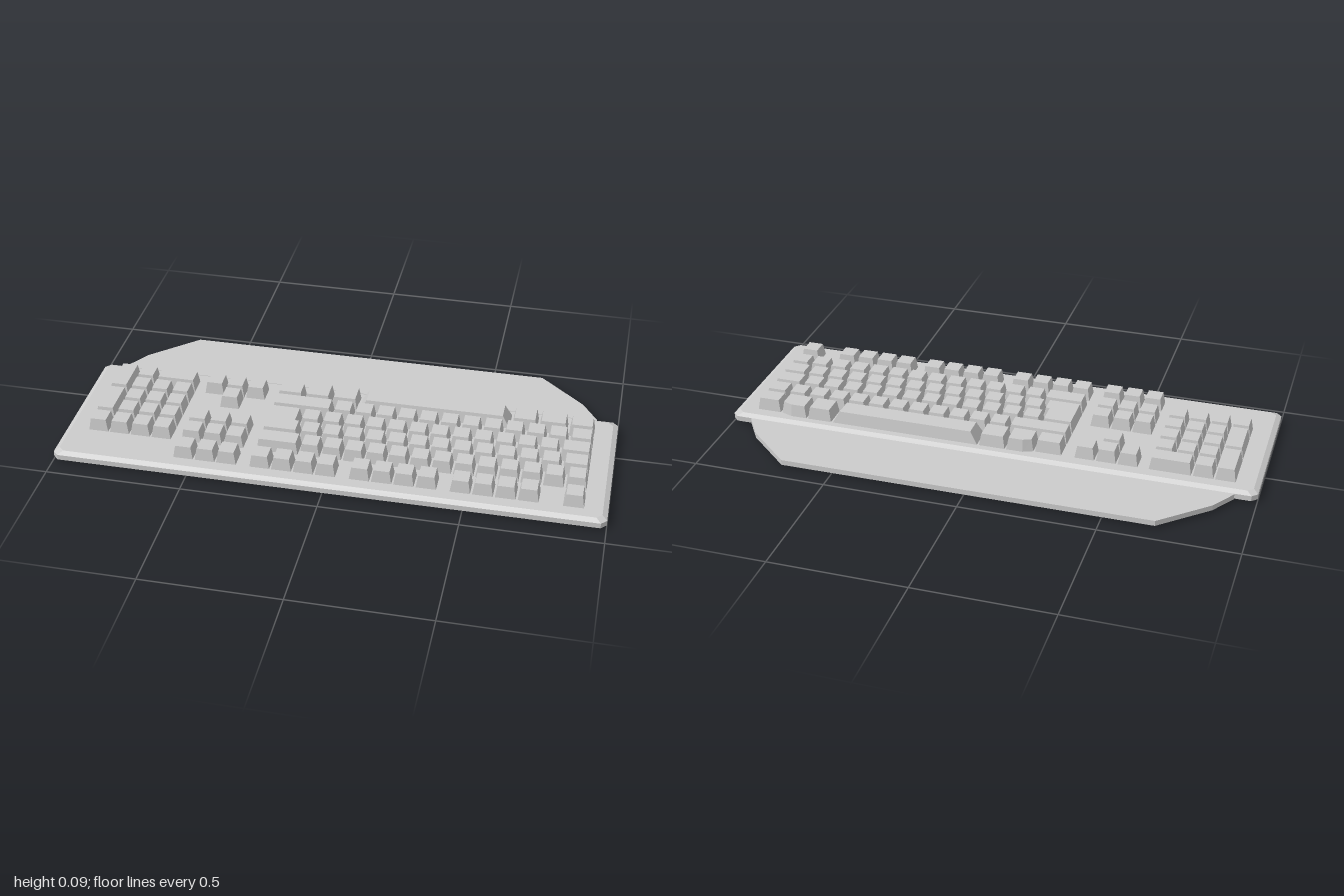
import * as THREE from 'three';

const material = new THREE.MeshStandardMaterial({ color: 0xcccccc, flatShading: true });

// Solid through rings [y, insetX, insetZ] of a convex outline of [x, z] points,
// listed counter-clockwise as seen from above.
function loft(name, outline, rings) {
  const xs = outline.map(p => p[0]), zs = outline.map(p => p[1]);
  const cx = (Math.min(...xs) + Math.max(...xs)) / 2, hx = Math.max(...xs) - cx;
  const cz = (Math.min(...zs) + Math.max(...zs)) / 2, hz = Math.max(...zs) - cz;
  const loops = rings.map(([y, ix, iz]) => outline.map(([x, z]) =>
    [cx + (x - cx) * (1 - ix / hx), y, cz + (z - cz) * (1 - iz / hz)]));
  const pos = [], n = outline.length;
  const tri = (a, b, c) => pos.push(...a, ...b, ...c);
  for (let r = 0; r < loops.length - 1; r++) {
    const lo = loops[r], hi = loops[r + 1];
    for (let i = 0; i < n; i++) {
      const j = (i + 1) % n;
      tri(lo[i], lo[j], hi[j]);
      tri(lo[i], hi[j], hi[i]);
    }
  }
  const bottom = loops[0], top = loops[loops.length - 1];
  for (let i = 1; i < n - 1; i++) {
    tri(top[0], top[i], top[i + 1]);
    tri(bottom[0], bottom[i + 1], bottom[i]);
  }
  const geometry = new THREE.BufferGeometry();
  geometry.setAttribute('position', new THREE.Float32BufferAttribute(pos, 3));
  geometry.computeVertexNormals();
  const mesh = new THREE.Mesh(geometry, material);
  mesh.name = name;
  return mesh;
}

const rect = (x0, x1, z0, z1) => [[x0, z1], [x1, z1], [x1, z0], [x0, z0]];

const PITCH = 0.08, GAP = 0.0035, DECK = 0.039, KEY_TOP = 0.087;
const ROWS = [0.336, 0.2325, 0.152, 0.0725, -0.008, -0.088];

function cap(name, outline, insetX = 0.008, insetZ = 0.006) {
  return loft(name, outline, [[DECK, 0, 0], [KEY_TOP, insetX, insetZ]]);
}

// Key filling the cell x0..x1, from row a to row b
function key(name, x0, x1, a, b = a) {
  return cap(name, rect(x0 + GAP, x1 - GAP, ROWS[b] - 0.0365, ROWS[a] + 0.0365));
}

// Run of single keys, first centre at x
function run(group, name, x, count, row) {
  for (let i = 0; i < count; i++) {
    const c = x + i * PITCH;
    group.add(key(name, c - PITCH / 2, c + PITCH / 2, row));
  }
}

export function createModel() {
  const model = new THREE.Group();
  model.name = 'keyboard';

  // Bevelled case with clipped corners
  const X = 1, F = 0.433, B = -0.183, C = 0.02;
  model.add(loft('case', [
    [-X + C, F], [X - C, F], [X, F - C], [X, B + C],
    [X - C, B], [-X + C, B], [-X, B + C], [-X, F - C],
  ], [[0, 0.018, 0.018], [0.01, 0, 0], [0.03, 0, 0], [0.04, 0.018, 0.018]]));

  // Flat rest with tapering sides
  model.add(loft('palmRest', [
    [-0.92, -0.175], [0.92, -0.175], [0.92, -0.188], [0.86, -0.28],
    [0.69, -0.433], [-0.69, -0.433], [-0.86, -0.28], [-0.92, -0.188],
  ], [[0.01, 0, 0], [0.03, 0, 0]]));

  // Main block
  const main = new THREE.Group();
  main.name = 'mainKeys';
  run(main, 'escapeKey', 0.88, 1, 0);
  for (const x of [0.483, 0.123, -0.24]) run(main, 'functionKey', x, 4, 0);
  run(main, 'numberKey', -0.08, 13, 1);
  main.add(key('backspaceKey', -0.28, -0.12, 1));
  run(main, 'letterKey', -0.10, 12, 2);
  main.add(key('tabKey', 0.82, 0.92, 2));
  run(main, 'letterKey', -0.115, 12, 3);
  main.add(key('capsKey', 0.805, 0.92, 3));
  main.add(key('enterKey', -0.28, -0.155, 2, 3));
  main.add(key('enterKeyStep', -0.28, -0.14, 2));
  run(main, 'letterKey', -0.01, 11, 4);
  main.add(key('rightShiftKey', -0.28, -0.05, 4));
  main.add(key('leftShiftKey', 0.83, 0.92, 4));

  // Bottom row, with angled keys stepping out to the longer space bar
  const front = ROWS[5] + 0.0365, back = ROWS[5] - 0.0365, out = -0.14;
  main.add(key('controlKey', -0.28, -0.175, 5));
  main.add(cap('angledKey', [
    [-0.172, front], [-0.073, front], [-0.073, out], [-0.135, out], [-0.172, back],
  ]));
  main.add(cap('altKey', rect(-0.067, 0.031, out, front)));
  main.add(cap('spaceBar', rect(0.038, 0.607, out, front), 0.028, 0.008));
  main.add(cap('altKey', rect(0.614, 0.707, out, front)));
  main.add(cap('angledKey', [
    [0.714, front], [0.818, front], [0.818, back], [0.775, out], [0.714, out],
  ]));
  main.add(key('controlKey', 0.822, 0.92, 5));
  model.add(main);

  // Navigation block and arrows
  const nav = new THREE.Group();
  nav.name = 'navigationKeys';
  for (const row of [0, 1, 2, 5]) run(nav, row === 5 ? 'arrowKey' : 'navigationKey', -0.523, 3, row);
  run(nav, 'arrowKey', -0.443, 1, 4);
  model.add(nav);

  // Number pad
  const pad = new THREE.Group();
  pad.name = 'numberPad';
  run(pad, 'padKey', -0.877, 4, 1);
  for (const row of [2, 3, 4]) run(pad, 'padKey', -0.797, 3, row);
  run(pad, 'padKey', -0.797, 1, 5);
  pad.add(key('padZeroKey', -0.757, -0.597, 5));
  pad.add(key('padPlusKey', -0.917, -0.837, 2, 3));
  pad.add(key('padEnterKey', -0.917, -0.837, 4, 5));
  model.add(pad);

  return model;
}
